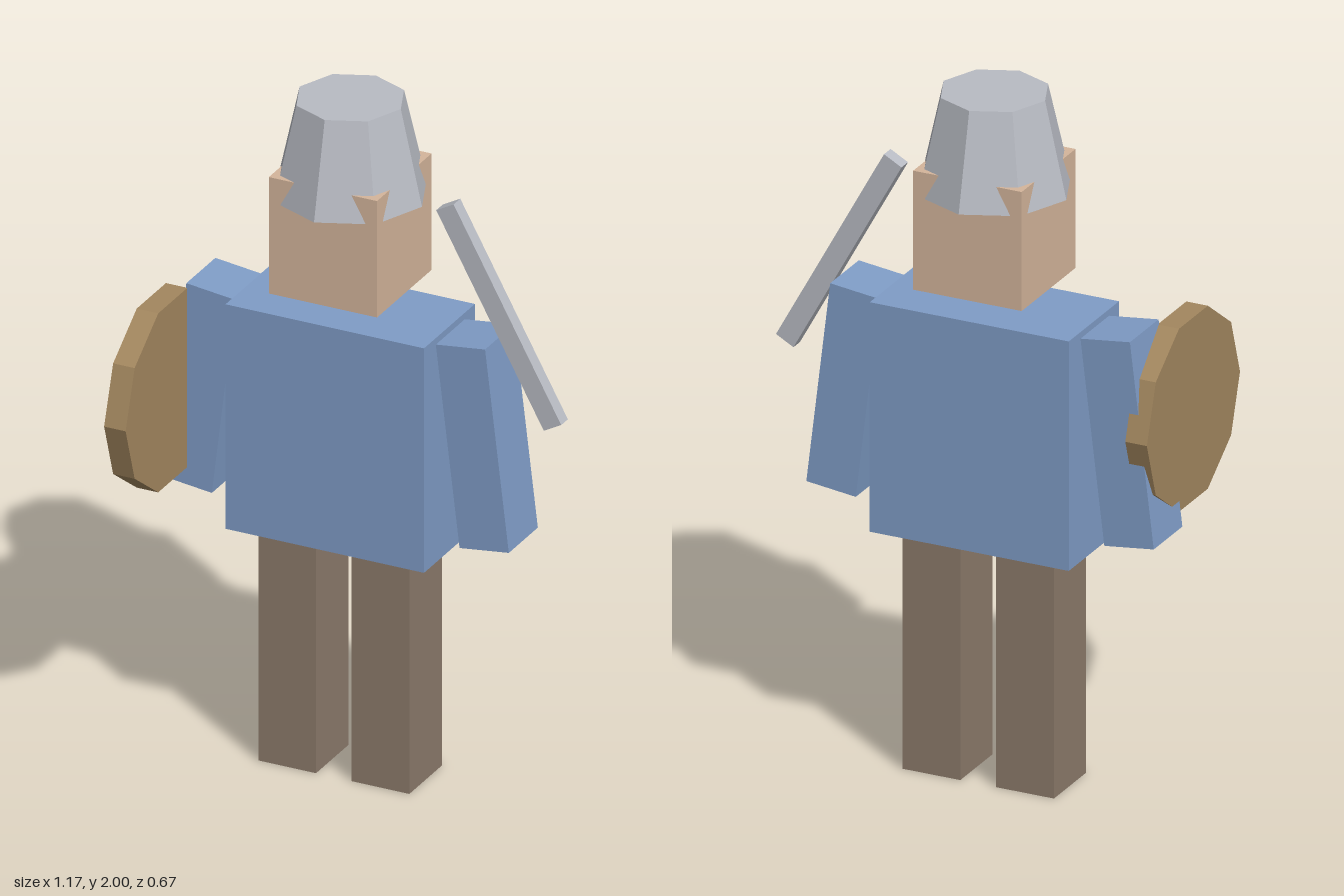
import * as THREE from 'three';

const AXIS_X = -0.063; // body centre line
const AXIS_Z = -0.12;

const paint = (color) => new THREE.MeshStandardMaterial({ color, flatShading: true });

export function createModel() {
  const model = new THREE.Group();
  model.name = 'soldier';

  const cloth = paint(0x7f9cc6);
  const trousers = paint(0x8c7b6b);
  const skin = paint(0xd4b59b);
  const steel = paint(0xb8bbc3);
  const wood = paint(0xa3875f);

  const add = (name, geometry, material, x, y, z = AXIS_Z, tilt = 0) => {
    const mesh = new THREE.Mesh(geometry, material);
    mesh.name = name;
    mesh.position.set(x, y, z);
    mesh.rotation.z = tilt;
    model.add(mesh);
    return mesh;
  };

  // Torso and head
  add('torso', new THREE.BoxGeometry(0.6, 0.675, 0.305), cloth, AXIS_X, 1.042);
  add('head', new THREE.BoxGeometry(0.327, 0.35, 0.327), skin, AXIS_X, 1.622);

  // Tapered eight-sided helmet
  add('helmet', new THREE.CylinderGeometry(0.153, 0.217, 0.28, 8), steel, AXIS_X, 1.86);

  // Mirrored legs and splayed arms
  for (const [side, s] of [['left', 1], ['right', -1]]) {
    add(`${side}Leg`, new THREE.BoxGeometry(0.174, 0.705, 0.196), trousers, AXIS_X + s * 0.141, 0.3525);
    add(`${side}Arm`, new THREE.BoxGeometry(0.15, 0.6, 0.174), cloth, AXIS_X + s * 0.413, 1.074, AXIS_Z, s * 0.12);
  }

  // Ten-sided shield on the right arm
  add('shield', new THREE.CylinderGeometry(0.283, 0.283, 0.065, 10), wood, -0.545, 1.097, 0.052, Math.PI / 2);

  // Sword: slanted blade, with the grip set crosswise in the left arm
  add('swordBlade', new THREE.BoxGeometry(0.06, 0.675, 0.04), steel, 0.396, 1.449, AXIS_Z, 0.503);
  add('swordGrip', new THREE.CylinderGeometry(0.033, 0.033, 0.16, 8), wood, 0.285, 1.2, AXIS_Z, 0.503 - Math.PI / 2);

  return model;
}
